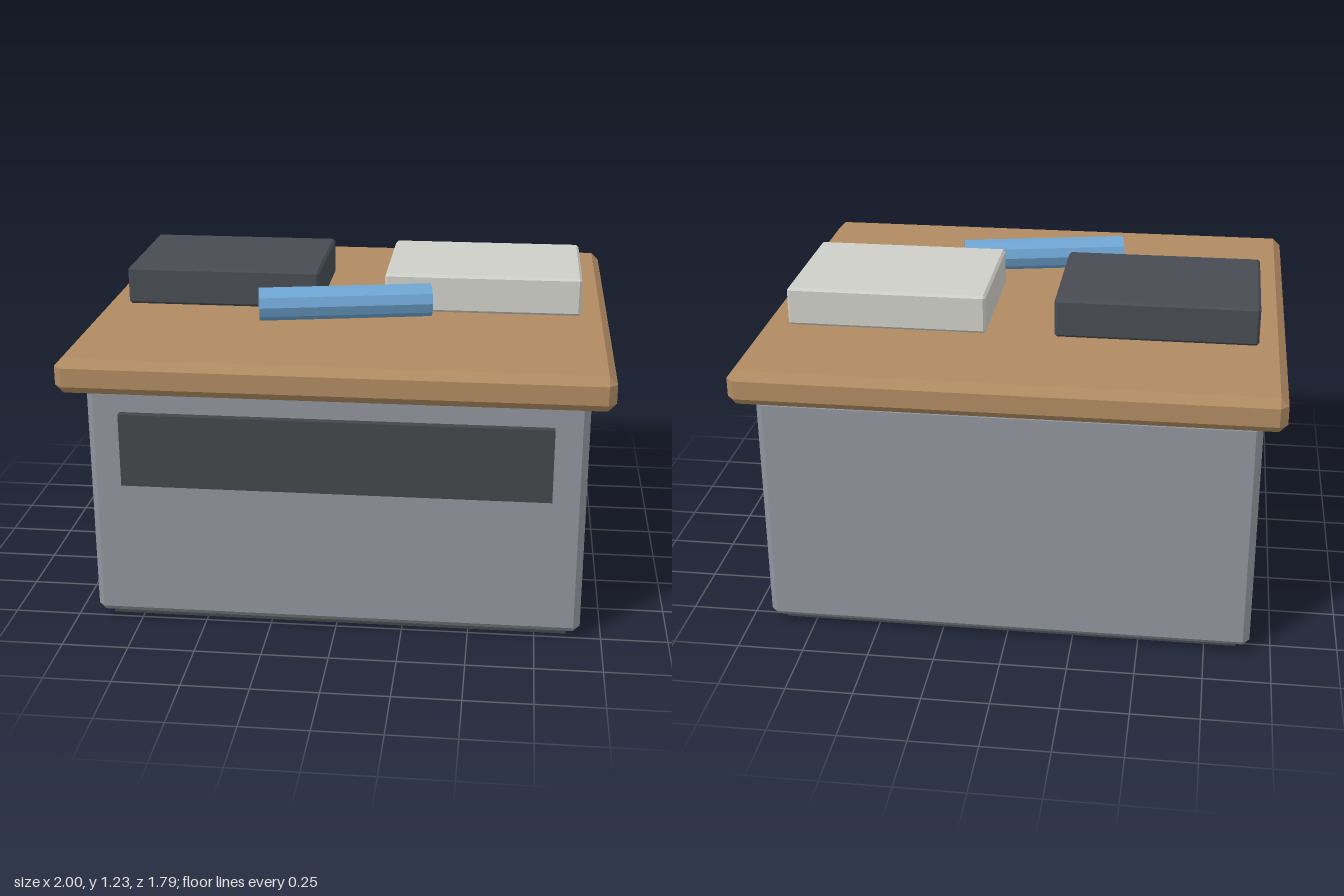
import * as THREE from 'three';
import { ConvexGeometry } from 'three/addons/geometries/ConvexGeometry.js';

const material = (name, color) => {
  const m = new THREE.MeshStandardMaterial({ color });
  m.name = name;
  return m;
};

// Box with all edges and corners cut by c
function chamferedBox(w, h, d, c) {
  const points = [];
  for (const sx of [-1, 1]) for (const sy of [-1, 1]) for (const sz of [-1, 1]) {
    const x = w / 2, y = h / 2, z = d / 2;
    points.push(
      new THREE.Vector3(sx * x, sy * (y - c), sz * (z - c)),
      new THREE.Vector3(sx * (x - c), sy * y, sz * (z - c)),
      new THREE.Vector3(sx * (x - c), sy * (y - c), sz * z));
  }
  return new ConvexGeometry(points);
}

export function createModel() {
  const model = new THREE.Group();
  model.name = 'counter';

  const grey = material('cabinet grey', 0x90949c);
  const dark = material('dark trim', 0x43474b);
  const wood = material('wood', 0xb08b62);
  const charcoal = material('charcoal', 0x484c52);
  const pale = material('pale grey', 0xcfcfc9);
  const blue = material('blue', 0x6fa5d3);

  const add = (name, geometry, mat, x, y, z) => {
    const mesh = new THREE.Mesh(geometry, mat);
    mesh.name = name;
    mesh.position.set(x, y, z);
    model.add(mesh);
    return mesh;
  };

  // Cabinet
  add('plinth', new THREE.BoxGeometry(1.74, 0.06, 1.49), dark, 0, 0.03, -0.025);
  add('cabinet', chamferedBox(1.84, 0.925, 1.59, 0.025), grey, 0, 0.4875, -0.025);
  add('frontPanel', new THREE.BoxGeometry(1.59, 0.28, 0.04), dark, 0, 0.707, 0.78);
  add('worktop', chamferedBox(2, 0.13, 1.79, 0.03), wood, 0, 1.015, 0);

  // Things lying on the worktop
  add('darkBox', chamferedBox(0.765, 0.15, 0.56, 0.01), charcoal, -0.515, 1.155, -0.13);
  add('paleBox', chamferedBox(0.765, 0.15, 0.56, 0.01), pale, 0.51, 1.155, -0.13);

  // Ten-sided roll, lying along x and turned slightly
  const rollGeometry = new THREE.CylinderGeometry(0.063, 0.063, 0.66, 10)
    .rotateZ(Math.PI / 2).toNonIndexed();
  rollGeometry.computeVertexNormals();
  const roll = add('roll', rollGeometry, blue, -0.01, 1.16, 0.315);
  roll.rotation.y = 0.2;

  return model;
}
